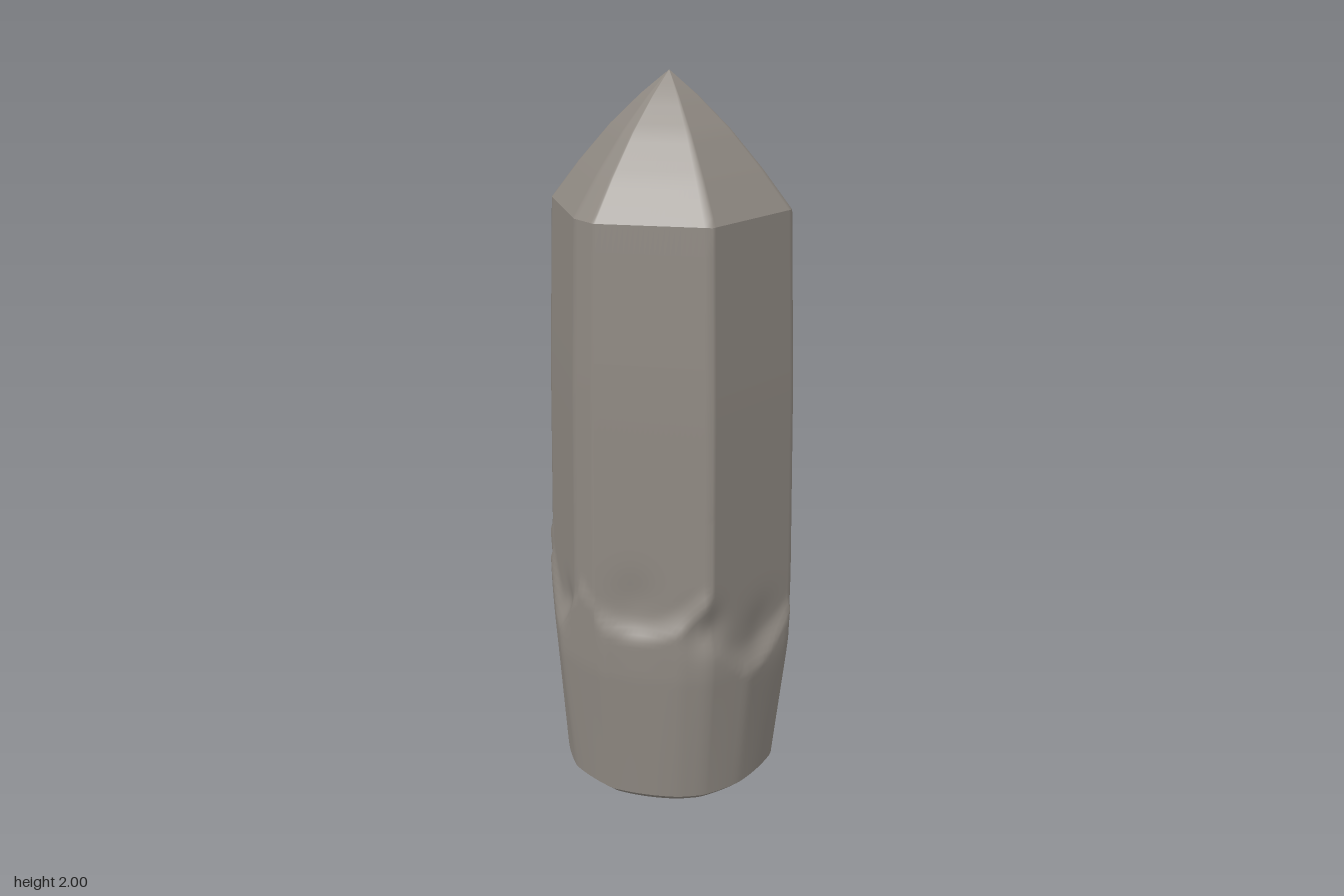
import * as THREE from 'three';

// Outlines seen from above as [x, z], ordered by rising angle
const SHAFT = [[0.322, 0.06], [0.13, 0.305], [-0.165, 0.277], [-0.22, 0.22], [-0.322, -0.065],
  [-0.135, -0.296], [-0.05, -0.3], [0.222, -0.228]];
const BASE = [[0.36, 0.085], [0.25, 0.262], [0.14, 0.345], [0.06, 0.355], [-0.16, 0.325], [-0.295, 0.21],
  [-0.36, -0.065], [-0.265, -0.245], [-0.14, -0.34], [-0.06, -0.357], [0.05, -0.34], [0.235, -0.265], [0.305, -0.16]];
// Height at which each flat shaft face breaks off: [face angle in degrees, height]
const BREAKS = [[39, 0.48], [101, 0.6], [163, 0.55], [219, 0.62], [280, 0.6], [343, 0.42]];
// Chipped hollows: [angle in degrees, height, angular size, height size, depth]
const CHIPS = [[69, 0.57, 9, 0.06, 0.022], [103, 0.64, 12, 0.08, 0.01], [30, 0.5, 14, 0.08, 0.012],
  [205, 0.6, 9, 0.06, 0.012], [250, 0.55, 12, 0.07, 0.012], [315, 0.62, 8, 0.08, 0.01], [150, 0.55, 10, 0.06, 0.01]];

const TAU = Math.PI * 2;
const angleGap = (a, b) => Math.abs(((a - b + 540) % 360 + 360) % 360 - 180);

// Distance from the axis to a polygon outline along an angle
function reach(poly, t) {
  const c = Math.cos(t), s = Math.sin(t);
  let best = Infinity;
  poly.forEach(([ax, az], i) => {
    const [bx, bz] = poly[(i + 1) % poly.length];
    const nx = bz - az, nz = ax - bx;
    const along = nx * c + nz * s;
    if (along > 1e-6) best = Math.min(best, (nx * ax + nz * az) / along);
  });
  return best;
}

// Linear interpolation through [height, value] pairs
function ramp(pairs, y) {
  for (let i = 1; i < pairs.length; i++) {
    const [y0, v0] = pairs[i - 1], [y1, v1] = pairs[i];
    if (y <= y1) return v0 + (v1 - v0) * (y - y0) / (y1 - y0);
  }
  return pairs[pairs.length - 1][1];
}

const SHAFT_SCALE = [[0, 1.12], [0.65, 1.09], [1.2, 1.055], [1.66, 1]];
const TIP_SCALE = [[1.66, 1], [1.76, 0.76], [1.86, 0.49], [1.94, 0.23], [1.985, 0.06], [2, 0]];
const BASE_SCALE = [[0, 0.82], [0.025, 0.895], [0.2, 0.935], [0.42, 0.985], [0.62, 1], [0.9, 1.03], [1.66, 1.05]];

function radiusAt(t, y) {
  if (y >= 1.66) return reach(SHAFT, t) * ramp(TIP_SCALE, y);
  const deg = t * 360 / TAU;
  // Each flat face ends in a curved scar, below which the rough base bulges out
  const face = BREAKS.reduce((a, b) => (angleGap(deg, a[0]) < angleGap(deg, b[0]) ? a : b));
  const edge = face[1] + 0.1 * (angleGap(deg, face[0]) / 30) ** 2;
  const bulge = THREE.MathUtils.smoothstep(edge - y, 0, 0.16) * 0.2;
  const shaft = reach(SHAFT, t) * (ramp(SHAFT_SCALE, y) + bulge);
  // The base grows rounder toward the ground
  const round = THREE.MathUtils.clamp(1 - y / 0.5, 0, 1) * 0.6;
  const base = THREE.MathUtils.lerp(reach(BASE, t), 0.347, round) * ramp(BASE_SCALE, y);
  let r = Math.min(shaft, base);
  for (const [a, h, da, dh, depth] of CHIPS) {
    r -= depth * Math.exp(-((angleGap(deg, a) / da) ** 2) - ((y - h) / dh) ** 2);
  }
  return r;
}

// Sampling angles: an even spread plus the exact corners of the shaft
function makeAngles() {
  const list = SHAFT.map(([x, z]) => (Math.atan2(z, x) + TAU) % TAU);
  for (let i = 0; i < 144; i++) {
    const t = i / 144 * TAU;
    if (list.every((a) => Math.abs(a - t) > 0.012)) list.push(t);
  }
  return list.sort((a, b) => a - b);
}

// Skin between rings at the given heights
function loft(angles, heights) {
  const pos = [], index = [], n = angles.length;
  for (const y of heights) {
    for (const t of angles) {
      const r = Math.max(radiusAt(t, y), 0.0005);
      pos.push(Math.cos(t) * r, y, Math.sin(t) * r);
    }
  }
  for (let j = 0; j < heights.length - 1; j++) {
    for (let i = 0; i < n; i++) {
      const a = j * n + i, b = j * n + (i + 1) % n;
      index.push(a, a + n, b, b, a + n, b + n);
    }
  }
  const geo = new THREE.BufferGeometry();
  geo.setAttribute('position', new THREE.Float32BufferAttribute(pos, 3));
  geo.setIndex(index);
  geo.computeVertexNormals();
  return geo;
}

const steps = (from, to, n) => Array.from({ length: n + 1 }, (_, i) => from + (to - from) * i / n);

export function createModel() {
  const group = new THREE.Group();
  group.name = 'standingStone';
  const stone = new THREE.MeshStandardMaterial({ color: 0x8f8982 });
  stone.name = 'warm grey stone';
  const angles = makeAngles();

  const add = (name, geo) => {
    const mesh = new THREE.Mesh(geo, stone);
    mesh.name = name;
    group.add(mesh);
  };

  // Rough base and faceted shaft
  add('shaft', loft(angles, [...steps(0.025, 0.9, 50), ...steps(0.95, 1.66, 10)]));
  // Six-sided point
  add('tip', loft(angles, [...steps(1.66, 1.94, 14), 1.965, 1.985, 1.995, 2]));
  // Worn lower rim
  add('bottomRim', loft(angles, [0, 0.012, 0.025]));

  // Flat underside
  const outline = new THREE.Shape(angles.map((t) => {
    const r = radiusAt(t, 0);
    return new THREE.Vector2(Math.cos(t) * r, Math.sin(t) * r);
  }));
  add('underside', new THREE.ShapeGeometry(outline).rotateX(Math.PI / 2));
  return group;
}
